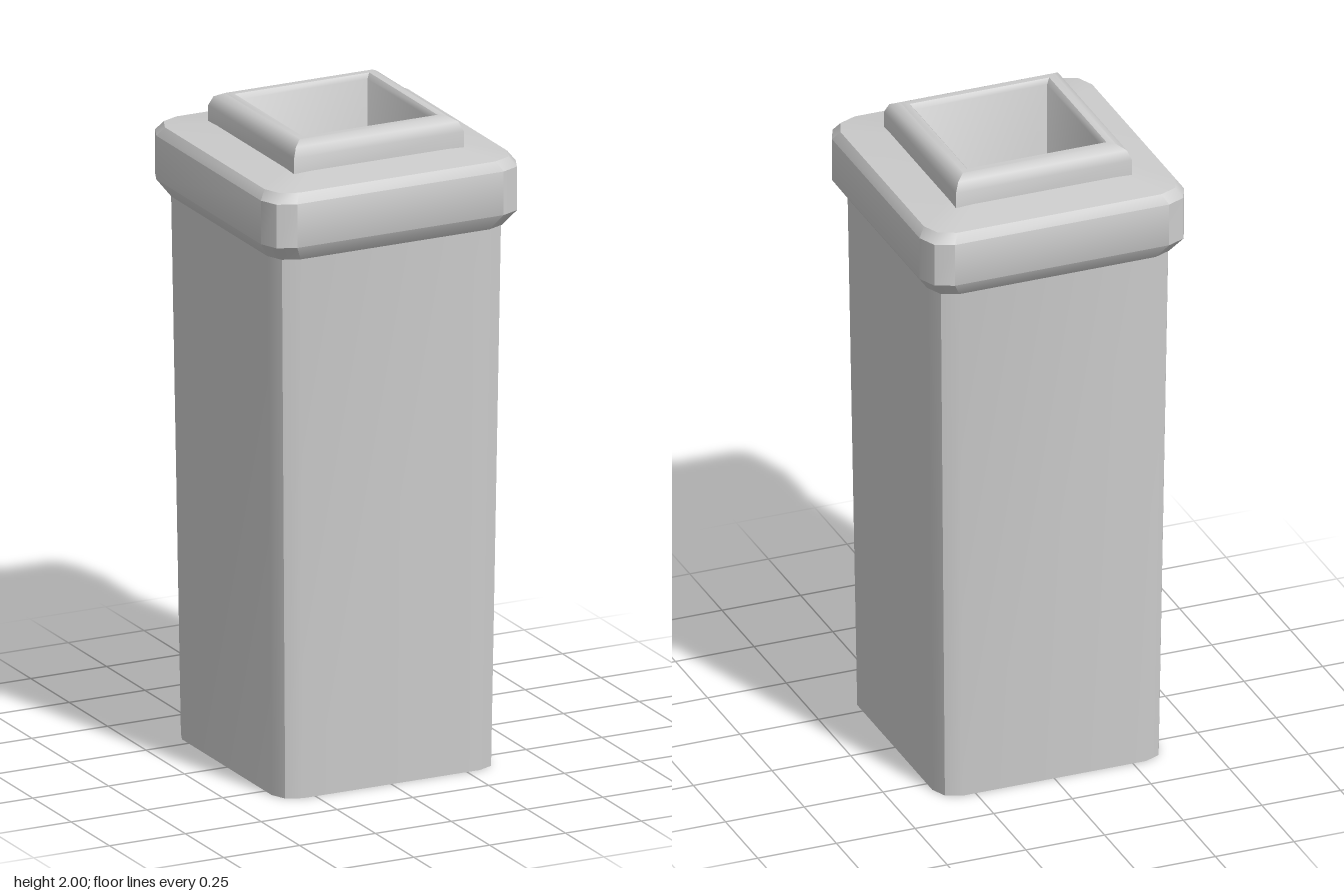
import * as THREE from 'three';
import { toCreasedNormals } from 'three/addons/utils/BufferGeometryUtils.js';

const material = new THREE.MeshStandardMaterial({ color: 0xcccccc });

// Unit cross-sections (x, z): a plain square and a square with softened corners
const squareCorner = [[1, 1]];
const softCorner = [[1, 0.81], [0.943, 0.943], [0.81, 1]];

// Repeat one corner around the four quarters
function section(corner) {
  const ring = [];
  for (let q = 0; q < 4; q++) {
    for (const [x, z] of corner) {
      ring.push([[x, z], [-z, x], [-x, -z], [z, -x]][q]);
    }
  }
  return ring;
}

// Skin a cross-section along a profile of [half width, height];
// a half width of 0 closes the end
function loft(name, corner, profile) {
  const ring = section(corner);
  const positions = [];
  const point = ([h, y], i) => {
    const [x, z] = ring[i % ring.length];
    return [x * h, y, z * h];
  };
  for (let k = 0; k < profile.length - 1; k++) {
    const low = profile[k], high = profile[k + 1];
    for (let i = 0; i < ring.length; i++) {
      const a = point(low, i), b = point(low, i + 1);
      const c = point(high, i), d = point(high, i + 1);
      if (low[0] > 0) positions.push(...a, ...c, ...b);
      if (high[0] > 0) positions.push(...b, ...c, ...d);
    }
  }
  const geometry = new THREE.BufferGeometry();
  geometry.setAttribute('position', new THREE.Float32BufferAttribute(positions, 3));
  const mesh = new THREE.Mesh(toCreasedNormals(geometry, 0.69), material);
  mesh.name = name;
  return mesh;
}

export function createModel() {
  const model = new THREE.Group();
  model.name = 'squareBin';

  // Tapered body with a closed base
  model.add(loft('body', softCorner, [[0, 0], [0.36, 0], [0.383, 1.69]]));

  // Overhanging collar with bevelled edges and a gently sloping top
  model.add(loft('collar', softCorner, [
    [0.37, 1.68], [0.385, 1.68], [0.42, 1.73], [0.42, 1.865], [0.4, 1.893], [0.25, 1.915],
  ]));

  // Square neck: bevelled outside, rim, then the inner walls and floor
  model.add(loft('neck', squareCorner, [
    [0.28, 1.88], [0.28, 1.957], [0.268, 1.986], [0.243, 2], [0.222, 2],
    [0.21, 1.985], [0.21, 0.06], [0, 0.06],
  ]));

  return model;
}
